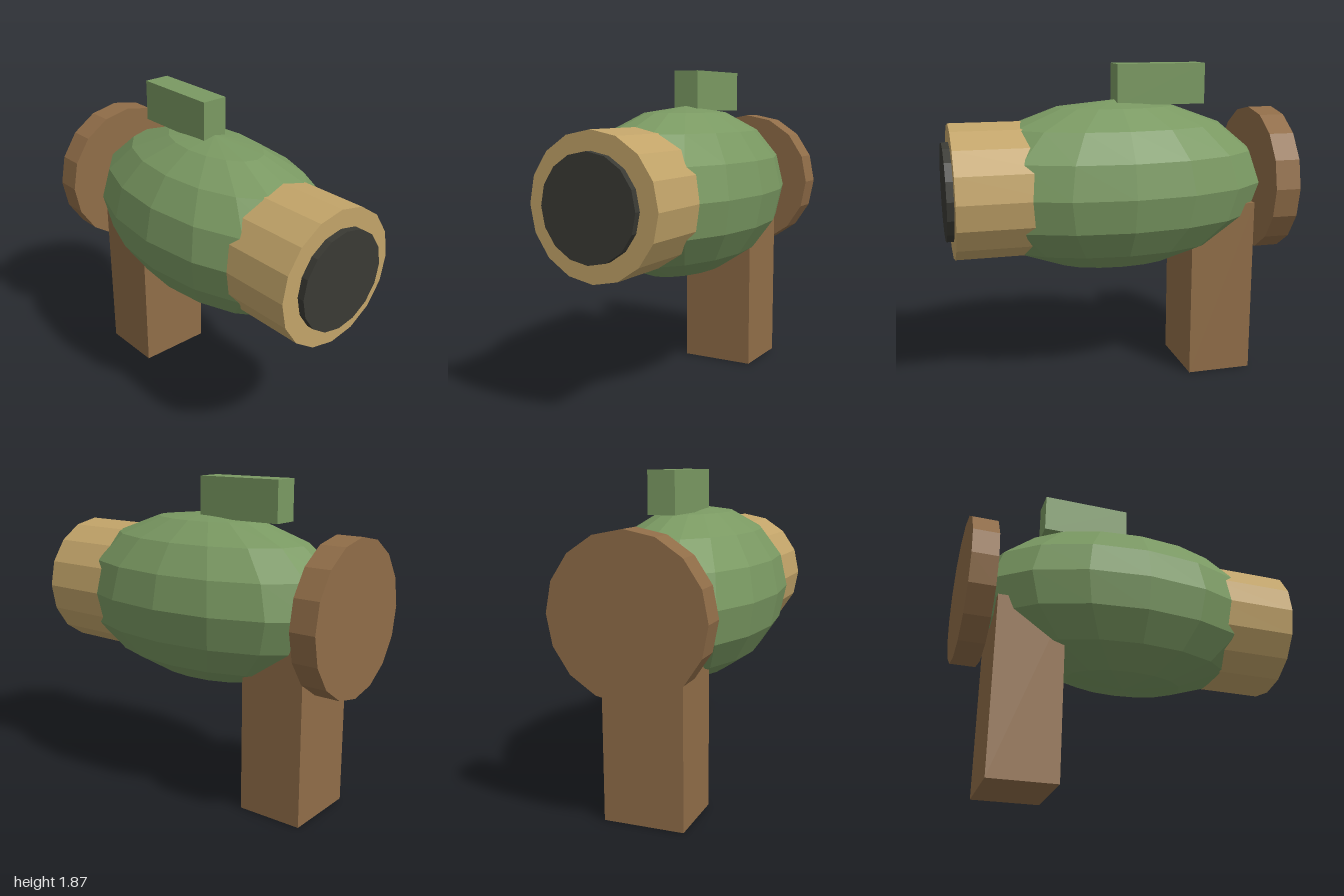
import * as THREE from 'three';

const AXIS_Y = 1.165; // height of the long axis

const paint = (color) => new THREE.MeshStandardMaterial({ color, flatShading: true });

export function createModel() {
  const group = new THREE.Group();
  const green = paint(0x7a9962);
  const tan = paint(0xc2a469);
  const brown = paint(0x906d48);
  const dark = paint(0x3a3a34);

  function add(name, geometry, material, x, y) {
    const mesh = new THREE.Mesh(geometry, material);
    mesh.name = name;
    mesh.position.set(x, y, 0);
    group.add(mesh);
  }

  // 16-sided drum lying along x from x0 to x1
  function addDrum(name, radius, x0, x1, material) {
    const geometry = new THREE.CylinderGeometry(radius, radius, x1 - x0, 16).rotateZ(-Math.PI / 2);
    add(name, geometry, material, (x0 + x1) / 2, AXIS_Y);
  }

  // upright block from y0 to y1
  function addBlock(name, x0, x1, y0, y1, depth, material) {
    const geometry = new THREE.BoxGeometry(x1 - x0, y1 - y0, depth);
    add(name, geometry, material, (x0 + x1) / 2, (y0 + y1) / 2);
  }

  // stretched faceted body
  add('body', new THREE.SphereGeometry(0.5, 16, 8).scale(1.84, 1, 1), green, 0, AXIS_Y);

  // barrel and its dark opening at one end, round cap at the other
  addDrum('barrel', 0.39, 0.4, 0.96, tan);
  addDrum('muzzle', 0.285, 0.9, 1, dark);
  addDrum('endCap', 0.435, -1, -0.85, brown);

  // handle below, sight block on top
  addBlock('handle', -0.81, -0.42, 0, 1.05, 0.46, brown);
  addBlock('sight', -0.53, 0, 1.635, 1.87, 0.155, green);

  return group;
}
